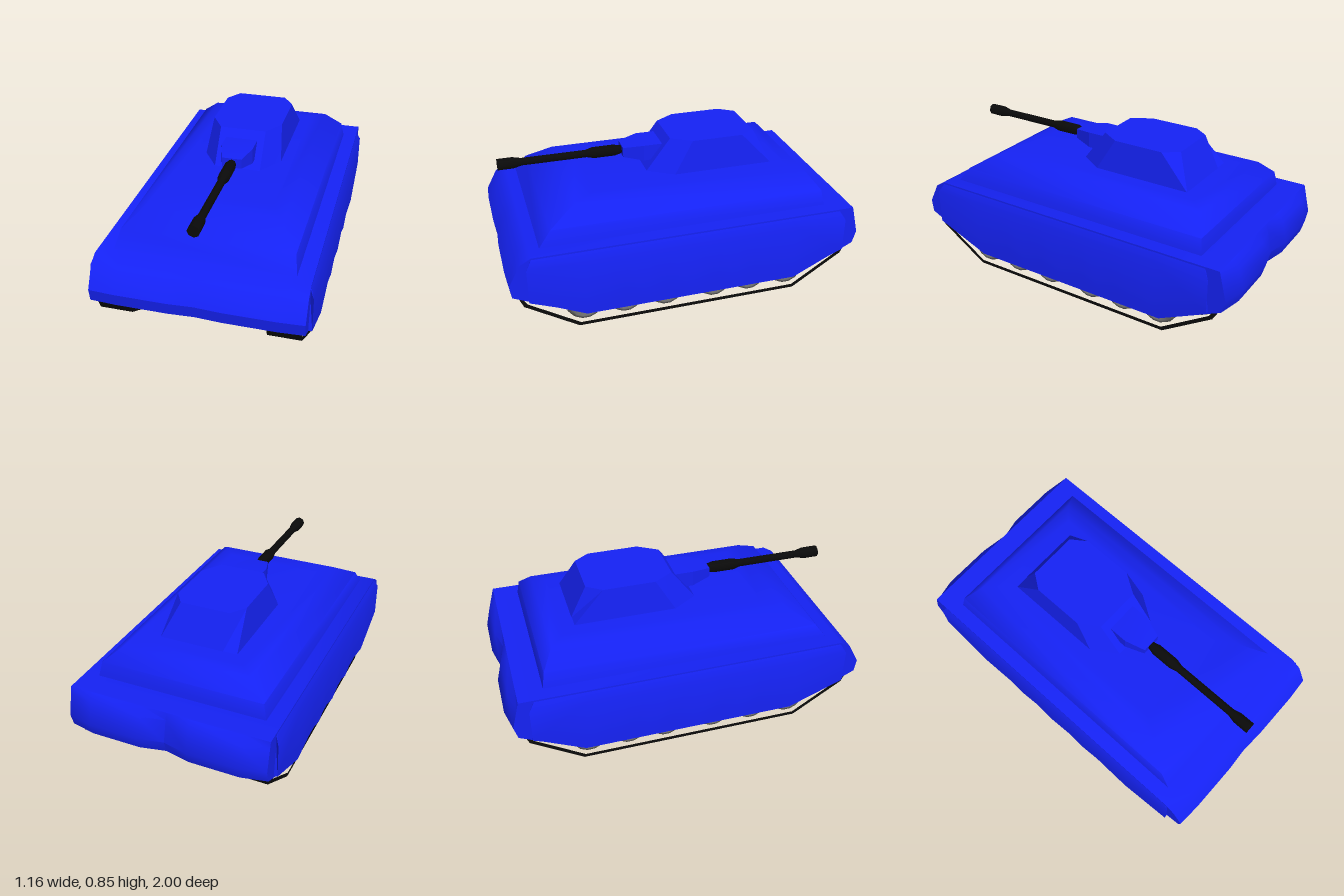
import * as THREE from 'three';
import { toCreasedNormals } from 'three/addons/utils/BufferGeometryUtils.js';

const paint = new THREE.MeshStandardMaterial({ color: 0x1522f5 });
const black = new THREE.MeshStandardMaterial({ color: 0x0a0a0a });
const steel = new THREE.MeshStandardMaterial({ color: 0x666666 });

// Skins equal-length rings of [x, y, z], caps both ends and faces the result outward.
function loft(rings, crease) {
  const n = rings[0].length, last = (rings.length - 1) * n, pts = rings.flat(), tris = [];
  for (let r = 0; r < rings.length - 1; r++) {
    for (let i = 0; i < n; i++) {
      const a = r * n + i, b = r * n + (i + 1) % n;
      tris.push([a, b, b + n], [a, b + n, a + n]);
    }
  }
  for (let i = 1; i < n - 1; i++) tris.push([0, i + 1, i], [last, last + i, last + i + 1]);
  const v = pts.map(p => new THREE.Vector3(...p));
  const volume = tris.reduce((s, [a, b, c]) => s + v[a].dot(v[b].clone().cross(v[c])), 0);
  if (volume < 0) tris.forEach(t => t.reverse());
  const geo = new THREE.BufferGeometry();
  geo.setAttribute('position', new THREE.Float32BufferAttribute(pts.flat(), 3));
  geo.setIndex(tris.flat());
  return toCreasedNormals(geo, crease);
}

const rect = (w, back, front, y) => [[-w, y, back], [w, y, back], [w, y, front], [-w, y, front]];

export function createModel() {
  const model = new THREE.Group();
  const add = (name, geo, mat, parent = model) => {
    const mesh = new THREE.Mesh(geo, mat);
    mesh.name = name;
    parent.add(mesh);
    return mesh;
  };

  // Lower hull: side profile [z, y] swept across x, with a scalloped rear
  const profile = [[0.87, 0.49], [0.93, 0.455], [1, 0.34], [0.99, 0.27], [0.6, 0.09],
    [-0.6, 0.09], [-0.98, 0.26], [-1, 0.33], [-0.97, 0.45], [-0.93, 0.49]];
  const hullRings = [-0.56, -0.42, -0.14, 0, 0.14, 0.42, 0.56].map(x => {
    const dent = x === 0 || Math.abs(x) === 0.56 ? 1 : 0;
    return profile.map(([z, y]) =>
      [x, y, z < -0.95 ? z + 0.03 * dent : z > 0.95 ? z - 0.008 * dent : z]);
  });
  add('lowerHull', loft(hullRings, 0.6), paint);

  // Upper hull: rounded stack of rectangles [half width, back, front, y]
  add('upperHull', loft([
    [0.48, -0.79, 0.82, 0.485], [0.46, -0.775, 0.75, 0.575],
    [0.36, -0.71, 0.6, 0.66], [0.28, -0.63, 0.48, 0.67],
  ].map(r => rect(...r)), 1.2), paint);

  // Turret: wide base with a front prow, narrower roof with chamfered corners
  const mirrorRing = half => [...half, ...half.map(([x, y, z]) => [-x, y, z]).reverse()];
  add('turret', loft([
    mirrorRing([[0.13, 0.665, 0.15], [0.222, 0.665, 0.01], [0.222, 0.665, -0.565], [0.14, 0.665, -0.565]]),
    mirrorRing([[0.13, 0.85, 0.01], [0.2, 0.85, -0.1], [0.2, 0.85, -0.39], [0.14, 0.85, -0.475]]),
  ], 0.2), paint);

  // Gun mantlet: box that tapers toward the barrel
  add('mantlet', loft([[0.09, 0.715, 0.805, 0.02], [0.09, 0.715, 0.805, 0.15], [0.054, 0.735, 0.79, 0.26]]
    .map(([w, lo, hi, z]) => [[-w, lo, z], [w, lo, z], [w, hi, z], [-w, hi, z]]), 0.2), paint);

  // Gun barrel with sleeve and muzzle brake, [radius, z]
  const barrel = new THREE.LatheGeometry([[0, 0.24], [0.024, 0.24], [0.024, 0.265], [0.033, 0.3],
    [0.033, 0.42], [0.022, 0.46], [0.022, 0.82], [0.033, 0.865], [0.033, 0.95], [0, 0.95]]
    .map(([r, z]) => new THREE.Vector2(r, z)), 8);
  barrel.rotateX(Math.PI / 2);
  add('gunBarrel', toCreasedNormals(barrel, 0.9), black).position.y = 0.76;

  // Side skirt stations [z, bottom y], with a wavy lower edge
  const skirtStations = [[0.9, 0.235], [0.6, 0.115], [0.49, 0.135], [0.38, 0.158], [0.26, 0.12],
    [0.145, 0.155], [0.005, 0.115], [-0.135, 0.155], [-0.24, 0.12], [-0.35, 0.155],
    [-0.46, 0.135], [-0.58, 0.115], [-0.88, 0.24]];

  // Track loop: outer outline [z, y] with a slightly smaller hole
  const loop = (pts) => pts.map(([z, y]) => new THREE.Vector2(z, y));
  const trackShape = new THREE.Shape(loop([[0.95, 0.245], [0.925, 0.185], [0.64, 0.002],
    [-0.61, 0.002], [-0.895, 0.185], [-0.92, 0.245]]));
  trackShape.holes.push(new THREE.Path(loop([[0.925, 0.228], [0.905, 0.197], [0.632, 0.022],
    [-0.602, 0.022], [-0.875, 0.197], [-0.895, 0.228]])));
  const trackGeo = new THREE.ExtrudeGeometry(trackShape, { depth: 0.177, bevelEnabled: false });
  trackGeo.rotateY(-Math.PI / 2);

  // Wheel of unit radius with a dished face and hub; its axle runs along x
  const wheelGeo = new THREE.LatheGeometry([[0, -0.08], [0.85, -0.08], [1, -0.06], [1, 0.05],
    [0.88, 0.075], [0.75, 0.075], [0.62, 0.045], [0.35, 0.045], [0.28, 0.08], [0, 0.08]]
    .map(([r, x]) => new THREE.Vector2(r, x)), 14);
  wheelGeo.rotateZ(-Math.PI / 2);
  const wheelSolid = toCreasedNormals(wheelGeo, 0.5);
  // [z, y, radius]
  const wheels = [[0.83, 0.25, 0.085], [0.6, 0.128, 0.106], [0.375, 0.122, 0.1], [0.145, 0.122, 0.1],
    [-0.135, 0.122, 0.1], [-0.345, 0.122, 0.1], [-0.57, 0.128, 0.106], [-0.81, 0.25, 0.085]];

  for (const [side, s] of [['left', 1], ['right', -1]]) {
    const skirtRings = skirtStations.map(([z, b]) => {
      const top = z === 0.9 ? 0.865 : z === -0.88 ? -0.845 : z;
      return [[s * 0.55, 0.488, top], [s * 0.557, 0.488, top], [s * 0.58, 0.43, z],
        [s * 0.58, b, z], [s * 0.55, b, z]];
    });
    add(side + 'Skirt', loft(skirtRings, 0.5), paint);
    add(side + 'Track', trackGeo, black).position.x = s > 0 ? 0.535 : -0.358;

    const set = new THREE.Group();
    set.name = side + 'Wheels';
    model.add(set);
    wheels.forEach(([z, y, r], i) => {
      const wheel = add(i % 7 ? 'roadWheel' : 'endWheel', wheelSolid, steel, set);
      wheel.position.set(s * 0.447, y, z);
      wheel.scale.set(1, r, r);
      if (s < 0) wheel.rotation.y = Math.PI;
    });
  }
  return model;
}
